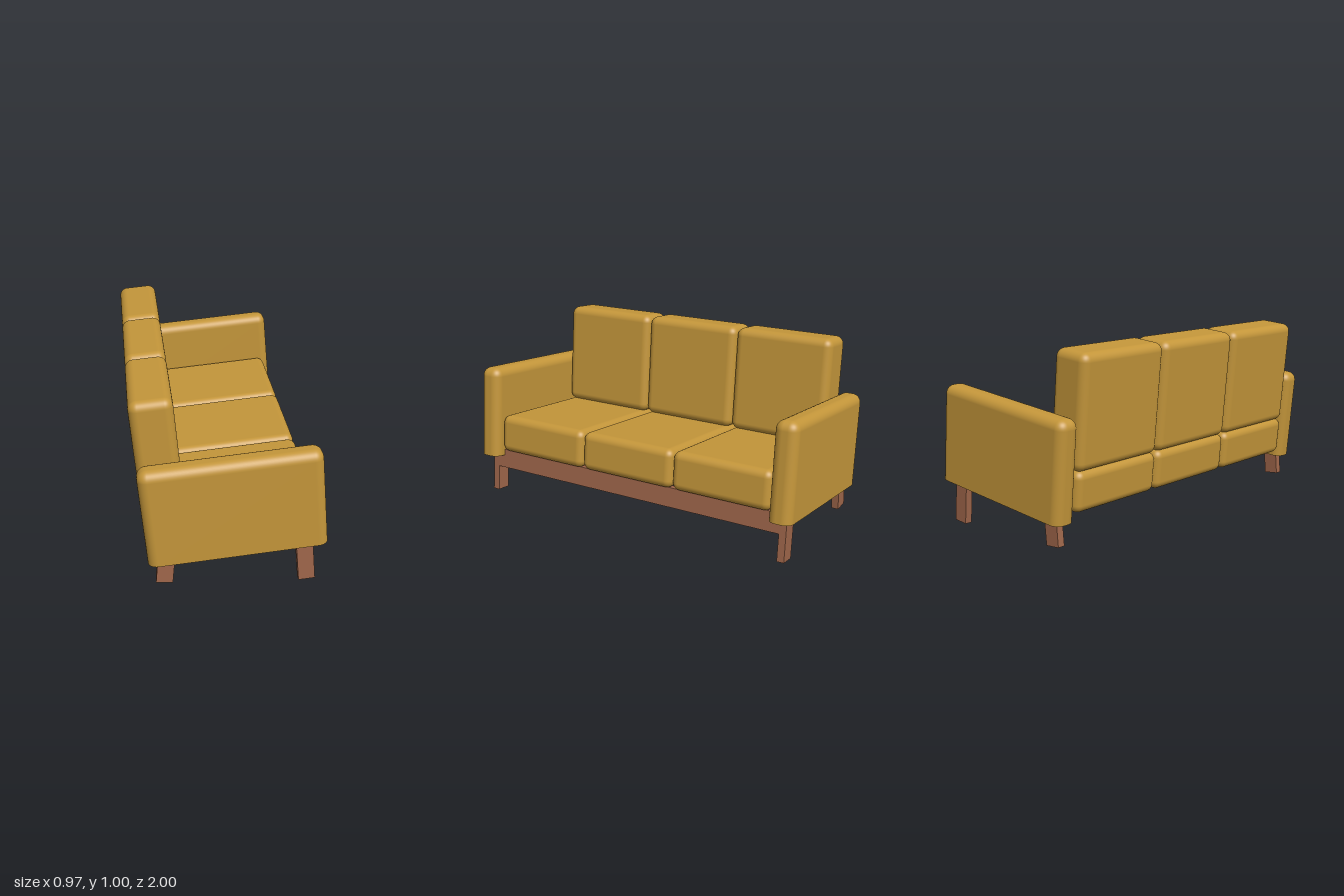
import * as THREE from 'three';
import { RoundedBoxGeometry } from 'three/addons/geometries/RoundedBoxGeometry.js';

const fabric = new THREE.MeshStandardMaterial({ color: 0xc4963a });
const wood = new THREE.MeshStandardMaterial({ color: 0xa0674b });
const TILT = 0.088;

// Add a mesh filling the span [x0,x1] x [y0,y1] x [z0,z1]
function place(parent, name, geometry, material, [x0, x1], [y0, y1], [z0, z1]) {
  const mesh = new THREE.Mesh(geometry, material);
  mesh.name = name;
  mesh.position.set((x0 + x1) / 2, (y0 + y1) / 2, (z0 + z1) / 2);
  parent.add(mesh);
  return mesh;
}

const size = ([a, b]) => b - a;

function box(parent, name, xs, ys, zs) {
  return place(parent, name, new THREE.BoxGeometry(size(xs), size(ys), size(zs)), wood, xs, ys, zs);
}

function cushion(parent, name, xs, ys, zs, radius) {
  const geometry = new RoundedBoxGeometry(size(xs), size(ys), size(zs), 5, radius);
  return place(parent, name, geometry, fabric, xs, ys, zs);
}

// Flatten the rounded underside of a rounded box into a sharp-edged base
function flattenBase(geometry, baseY, radius) {
  const pos = geometry.attributes.position;
  const normal = geometry.attributes.normal;
  const limit = baseY + radius + 1e-4;
  for (let i = 0; i < pos.count; i += 3) {
    const low = [0, 1, 2].map((k) => pos.getY(i + k) <= limit);
    const isBase = low.every(Boolean);
    for (let k = 0; k < 3; k++) {
      if (low[k]) pos.setY(i + k, baseY);
      if (isBase) normal.setXYZ(i + k, 0, -1, 0);
    }
  }
}

export function createModel() {
  const sofa = new THREE.Group();
  sofa.name = 'sofa';

  // Everything except the rear legs leans back together
  const body = new THREE.Group();
  body.name = 'recliningBody';
  body.rotation.z = TILT;
  sofa.add(body);

  // Three seat cushions and three back cushions
  const pitch = 0.58;
  for (let i = -1; i <= 1; i++) {
    const zs = [i * pitch - 0.289, i * pitch + 0.289];
    cushion(body, 'seatCushion', [-0.402, 0.465], [0.228, 0.444], zs, 0.042);
    cushion(body, 'backCushion', [-0.402, -0.184], [0.438, 1.028], zs, 0.045);
  }

  // Front rail between the front legs
  box(body, 'frontRail', [0.39, 0.43], [0.12, 0.23], [-0.915, 0.915]);

  for (const side of [1, -1]) {
    const label = side > 0 ? 'left' : 'right';
    const span = (a, b) => (side > 0 ? [a, b] : [-b, -a]);

    // Armrest, rounded except for its flat base
    const arm = cushion(body, label + 'Armrest', [-0.402, 0.503], [0.196, 0.72], span(0.872, 1), 0.05);
    flattenBase(arm.geometry, -0.262, 0.05);

    // Front leg follows the lean of the body
    box(body, label + 'FrontLeg', [0.345, 0.43], [-0.028, 0.23], span(0.915, 0.955));

    // Rear leg splays the other way
    const leg = new THREE.Group();
    leg.name = label + 'RearLegMount';
    leg.position.set(-0.338, 0.038, 0);
    leg.rotation.z = -TILT;
    box(leg, label + 'RearLeg', [-0.0425, 0.0425], [0, 0.17], span(0.915, 0.955));
    sofa.add(leg);
  }
  return sofa;
}
